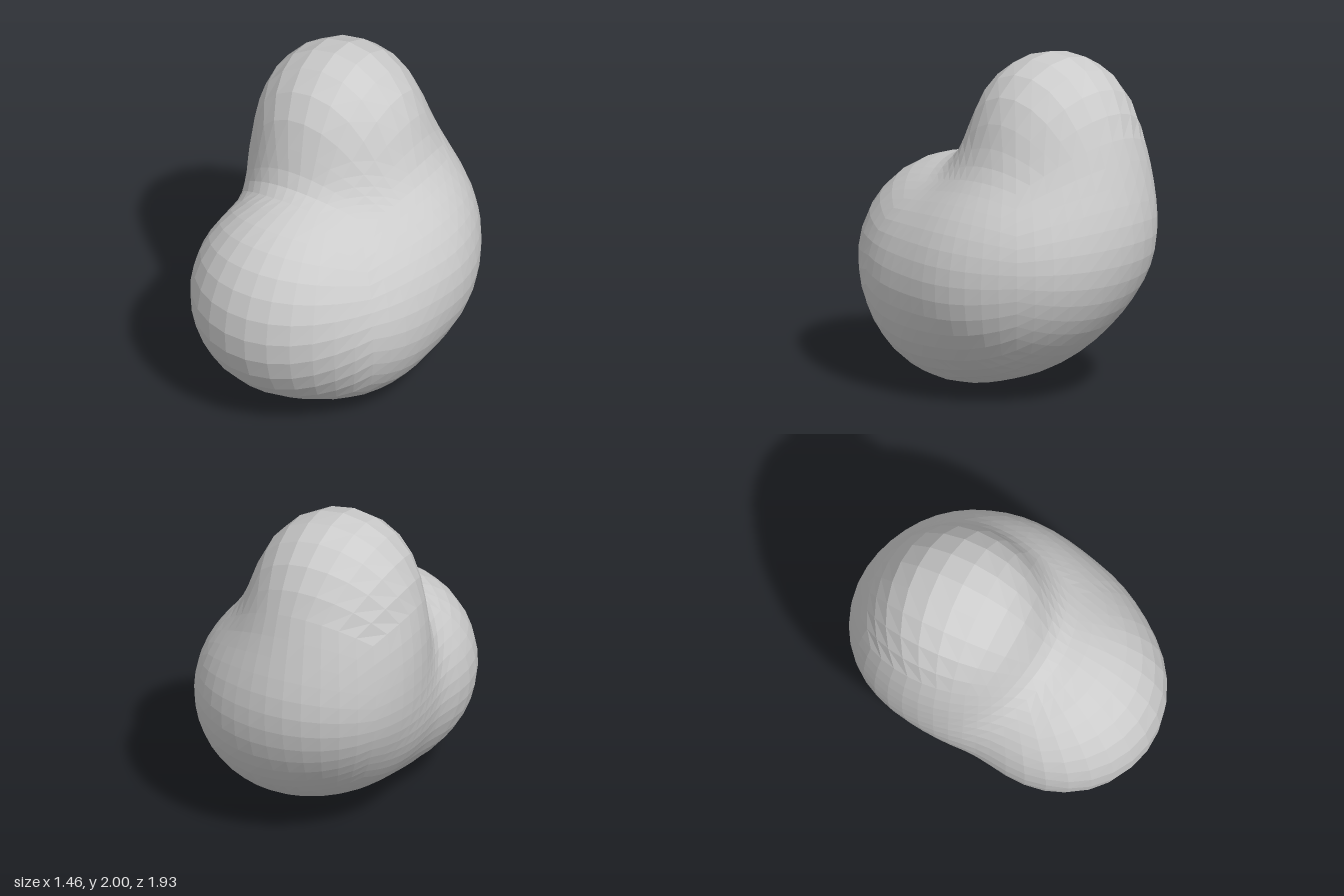
import * as THREE from 'three';

// Blended balls: x, y, z, radius
const BALLS = [
  [-0.19, 1.53, -0.3, 0.47],    // head
  [-0.19, 1.25, -0.34, 0.515],  // neck
  [-0.14, 1.16, -0.22, 0.48],   // throat
  [-0.1, 0.69, 0.365, 0.6],     // front lobe
  [0.13, 0.7, -0.18, 0.585],    // left side
  [-0.09, 0.77, -0.15, 0.59],   // right side
  [-0.14, 0.96, -0.39, 0.56],   // upper back
  [0.06, 0.82, -0.36, 0.55],    // lower back
  [0.07, 0.61, 0.13, 0.605],    // underside
];
const BLEND = 0.06;

// Smooth union of the balls, negative inside
function field(p) {
  let sum = 0;
  for (const [x, y, z, r] of BALLS) {
    const d = Math.hypot(p.x - x, p.y - y, p.z - z) - r;
    sum += Math.exp(-d / BLEND);
  }
  return -BLEND * Math.log(sum);
}

// Push a faceted cube-sphere out along rays until it meets the blended surface
function blobGeometry(segments) {
  const geometry = new THREE.BoxGeometry(2, 2, 2, segments, segments, segments);
  const pos = geometry.attributes.position;
  const origin = new THREE.Vector3(-0.05, 0.85, -0.1);
  const dir = new THREE.Vector3();
  const p = new THREE.Vector3();
  const even = (v) => Math.tan((v * Math.PI) / 4);
  for (let i = 0; i < pos.count; i++) {
    dir.set(even(pos.getX(i)), even(pos.getY(i)), even(pos.getZ(i))).normalize();
    let near = 0, far = 1.8;
    for (let step = 0; step < 30; step++) {
      const mid = (near + far) / 2;
      p.copy(origin).addScaledVector(dir, mid);
      if (field(p) < 0) near = mid;
      else far = mid;
    }
    p.copy(origin).addScaledVector(dir, near);
    pos.setXYZ(i, p.x, p.y, p.z);
  }
  geometry.computeVertexNormals();
  return geometry;
}

export function createModel() {
  const model = new THREE.Group();
  model.name = 'blob';
  const material = new THREE.MeshStandardMaterial({ color: 0xcccccc, flatShading: true });
  const body = new THREE.Mesh(blobGeometry(12), material);
  body.name = 'blobBody';
  model.add(body);
  return model;
}
